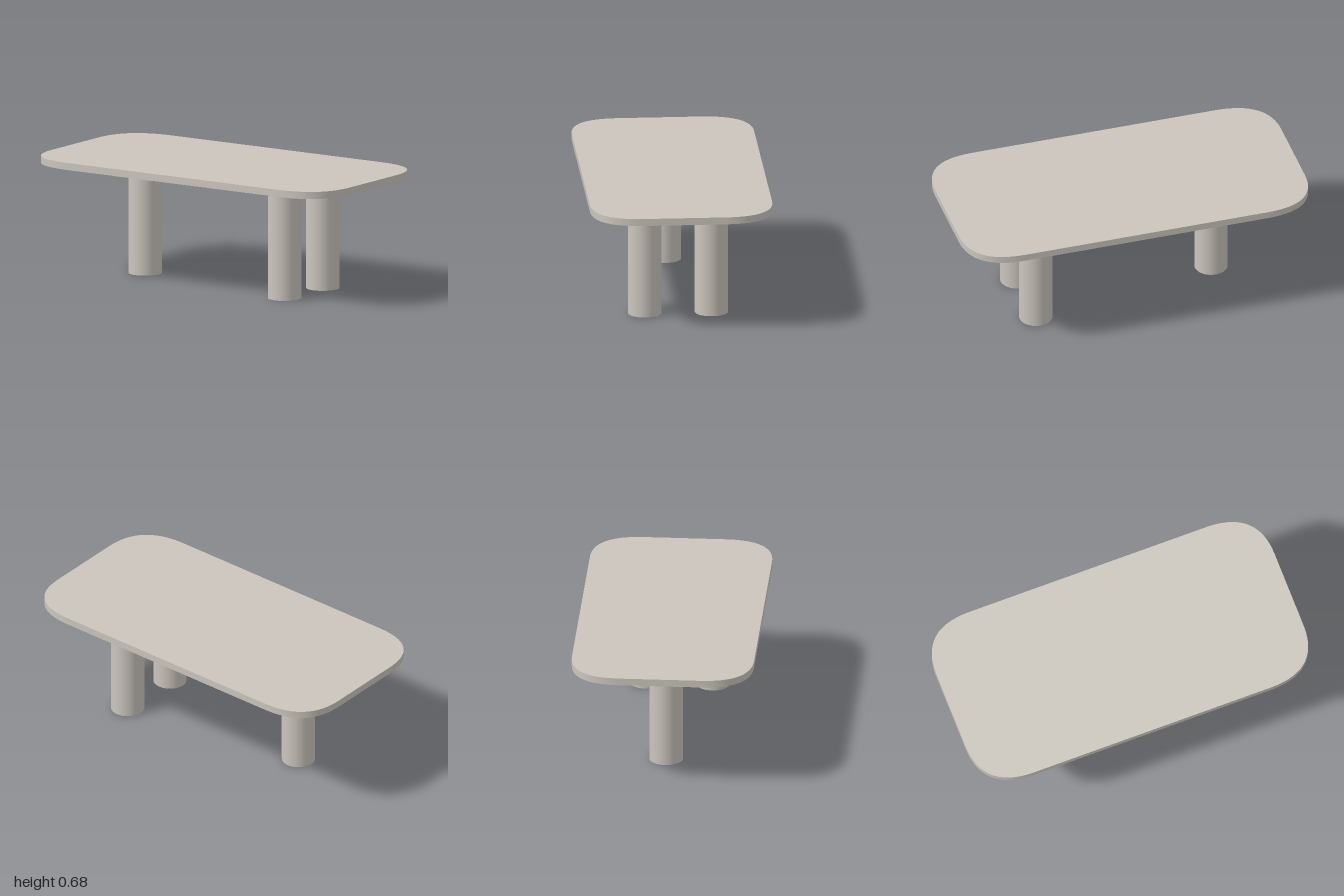
import * as THREE from 'three';
import { toCreasedNormals } from 'three/addons/utils/BufferGeometryUtils.js';

export function createModel() {
  const stone = new THREE.MeshStandardMaterial({ color: 0xcbc5bd });
  stone.name = 'warmGreyStone';
  const group = new THREE.Group();
  group.name = 'table';

  const legHeight = 0.635, thickness = 0.04;

  // Table top: rectangle with softly curved corners
  const X = 1, Z = 0.505, cx = 0.3, cz = 0.28;
  const outline = new THREE.Shape();
  outline.moveTo(X - cx, -Z);
  outline.quadraticCurveTo(X, -Z, X, -Z + cz);
  outline.lineTo(X, Z - cz);
  outline.quadraticCurveTo(X, Z, X - cx, Z);
  outline.lineTo(-X + cx, Z);
  outline.quadraticCurveTo(-X, Z, -X, Z - cz);
  outline.lineTo(-X, -Z + cz);
  outline.quadraticCurveTo(-X, -Z, -X + cx, -Z);
  outline.closePath();
  const slab = new THREE.ExtrudeGeometry(outline, { depth: thickness, bevelEnabled: false, curveSegments: 20 });
  slab.rotateX(-Math.PI / 2);
  const top = new THREE.Mesh(toCreasedNormals(slab, 0.6), stone);
  top.name = 'tableTop';
  top.position.y = legHeight;
  group.add(top);

  // Three round legs: a pair at one end, a single one at the other
  const legGeometry = new THREE.CylinderGeometry(0.0925, 0.0925, legHeight, 48);
  const legs = [
    ['leftFrontLeg', 0.54, 0.19],
    ['leftBackLeg', 0.54, -0.18],
    ['rightLeg', -0.527, 0.005],
  ];
  for (const [name, x, z] of legs) {
    const leg = new THREE.Mesh(legGeometry, stone);
    leg.name = name;
    leg.position.set(x, legHeight / 2, z);
    group.add(leg);
  }
  return group;
}
